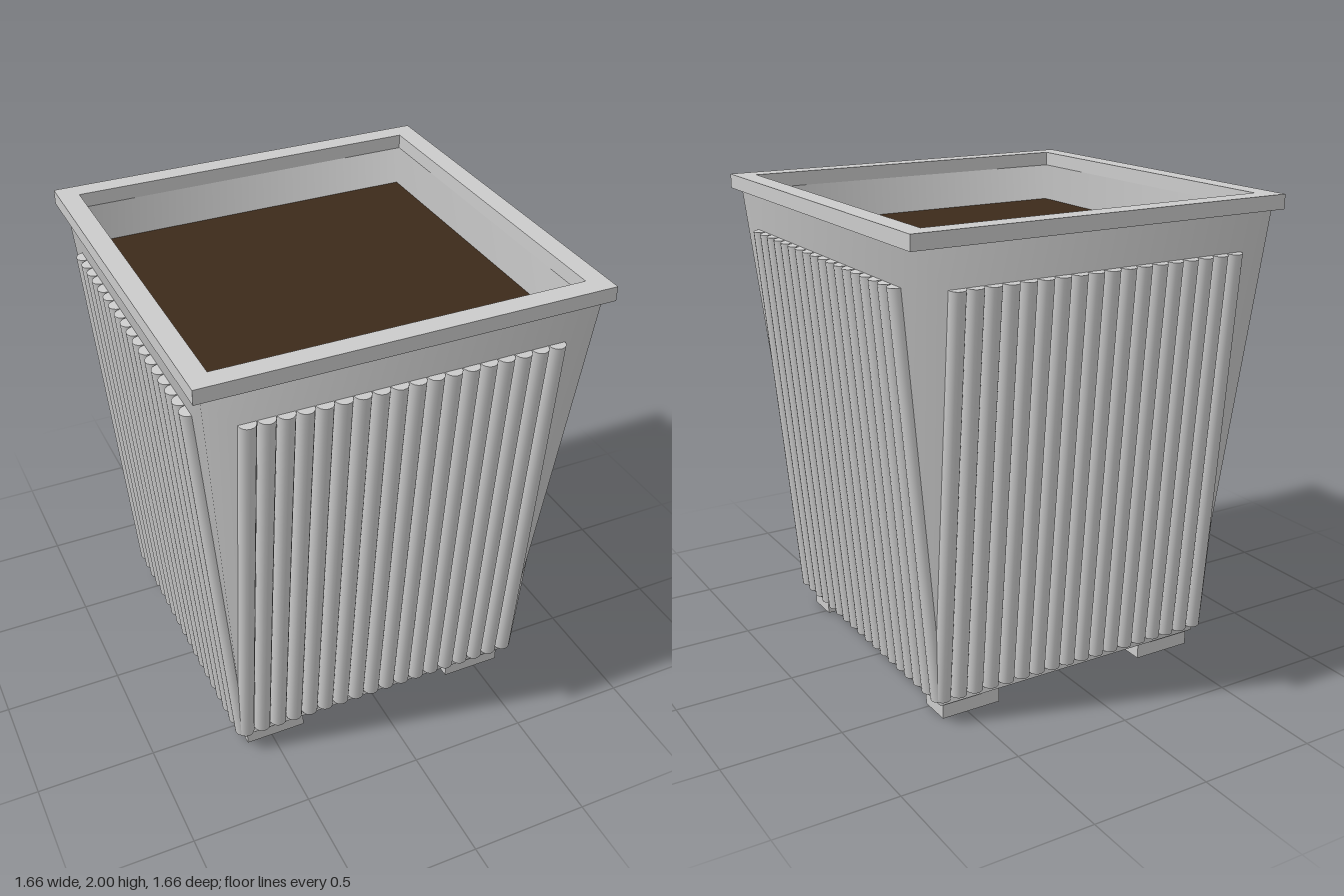
import * as THREE from 'three';

const BASE_Y = 0.07, RIM_Y = 1.94;
const BASE_HALF = 0.63, TOP_HALF = 0.795, WALL = 0.05;
const SLOPE = (TOP_HALF - BASE_HALF) / (RIM_Y - BASE_Y);
const halfAt = (y) => BASE_HALF + (y - BASE_Y) * SLOPE;

export function createModel() {
  const model = new THREE.Group();
  model.name = 'planter';
  const grey = new THREE.MeshStandardMaterial({ color: 0xcccccc });
  const brown = new THREE.MeshStandardMaterial({ color: 0x3d2a1a });

  const add = (name, geometry, material, x = 0, y = 0, z = 0, parent = model) => {
    const mesh = new THREE.Mesh(geometry, material);
    mesh.name = name;
    mesh.position.set(x, y, z);
    parent.add(mesh);
    return mesh;
  };

  // Tapered square tub with a wall thickness, turned with four sides
  const corner = (half, y) => new THREE.Vector2(half * Math.SQRT2, y);
  const profile = [
    corner(BASE_HALF, BASE_Y),
    corner(TOP_HALF, RIM_Y),
    corner(TOP_HALF - WALL, RIM_Y),
    corner(BASE_HALF - WALL, BASE_Y),
    corner(BASE_HALF, BASE_Y),
  ];
  add('tub', new THREE.LatheGeometry(profile, 4, Math.PI / 4), grey);

  // Floor plate closing the tub
  const floorSize = 2 * (BASE_HALF - WALL);
  add('floor', new THREE.BoxGeometry(floorSize, 0.04, floorSize), grey, 0, BASE_Y + 0.024, 0);

  // Square rim frame
  const square = (half, PathType) => new PathType([
    new THREE.Vector2(-half, -half), new THREE.Vector2(half, -half),
    new THREE.Vector2(half, half), new THREE.Vector2(-half, half),
  ]);
  const frame = square(0.83, THREE.Shape);
  frame.holes.push(square(0.745, THREE.Path));
  const rim = new THREE.ExtrudeGeometry(frame, { depth: 2 - RIM_Y, bevelEnabled: false });
  rim.rotateX(-Math.PI / 2);
  add('rim', rim, grey, 0, RIM_Y, 0);

  // Soil filling
  const soilSize = 2 * 0.732;
  add('soil', new THREE.BoxGeometry(soilSize, 0.02, soilSize), brown, 0, 1.77, 0);

  // Half-round ribs leaning with each of the four walls
  const ribCount = 18, ribPitch = 0.0735, ribRadius = 0.035;
  const ribBottom = 0.105, ribTop = 1.78;
  const tilt = Math.atan(SLOPE);
  const midY = (ribBottom + ribTop) / 2;
  const ribGeometry = new THREE.CylinderGeometry(
    ribRadius, ribRadius, (ribTop - ribBottom) / Math.cos(tilt), 16);
  ['front', 'left', 'back', 'right'].forEach((side, s) => {
    const panel = new THREE.Group();
    panel.name = side + 'Ribs';
    panel.rotation.y = s * Math.PI / 2;
    for (let i = 0; i < ribCount; i++) {
      const x = (i - (ribCount - 1) / 2) * ribPitch;
      add('rib', ribGeometry, grey, x, midY, halfAt(midY), panel).rotation.x = tilt;
    }
    model.add(panel);
  });

  // Four corner feet
  const footGeometry = new THREE.BoxGeometry(0.26, BASE_Y + 0.01, 0.14);
  for (const x of [-1, 1]) {
    for (const z of [-1, 1]) {
      add('foot', footGeometry, grey, x * 0.482, (BASE_Y + 0.01) / 2, z * 0.545);
    }
  }

  return model;
}
